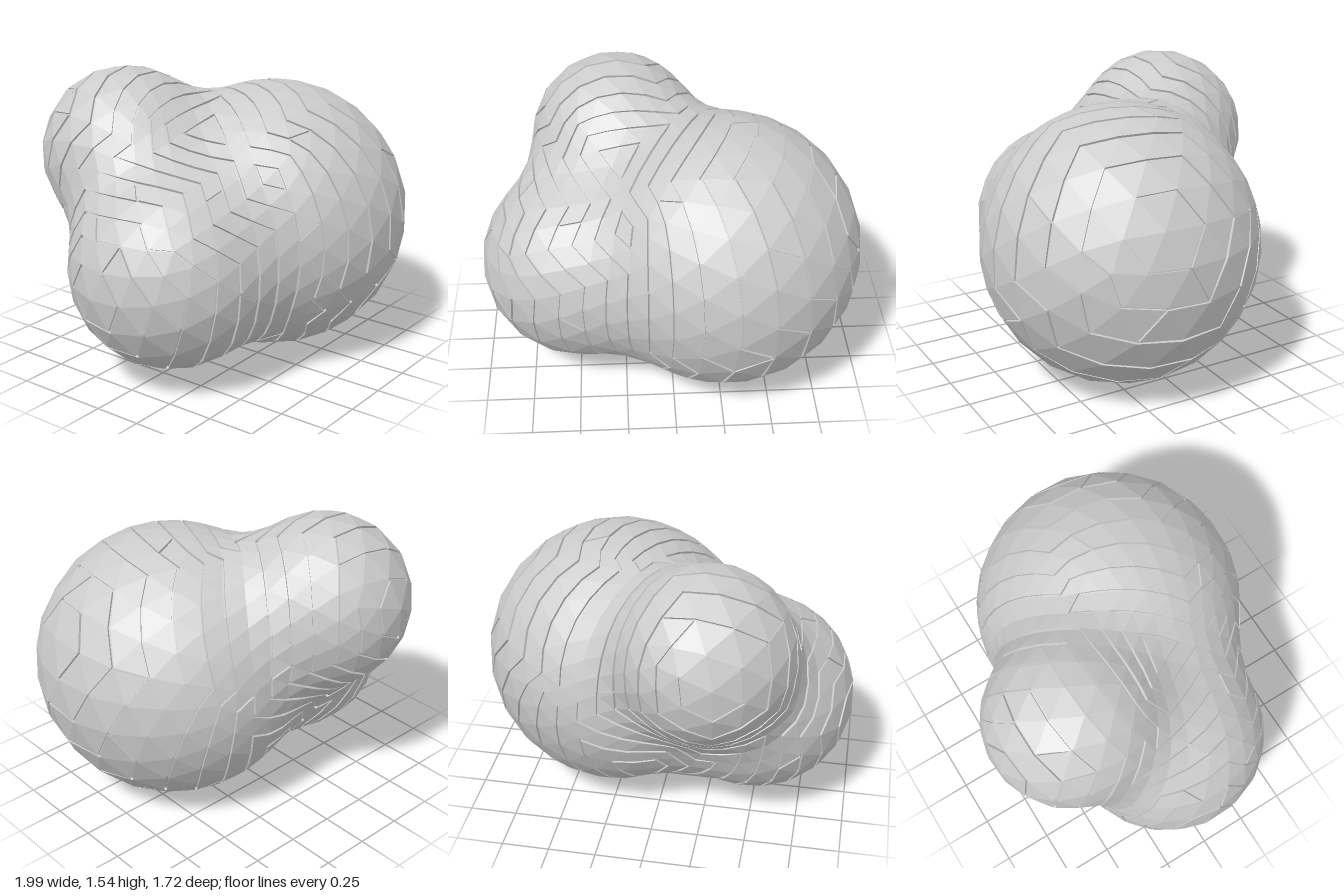
import * as THREE from 'three';
import { mergeVertices } from 'three/addons/utils/BufferGeometryUtils.js';

// Three rounded lobes melted together: centre and radius
const LOBES = [
  [new THREE.Vector3(0.293, 0.74, 0.142), 0.721],
  [new THREE.Vector3(-0.468, 0.622, 0.04), 0.524],
  [new THREE.Vector3(-0.26, 1.11, -0.42), 0.452],
];
const CORE = new THREE.Vector3(-0.12, 0.84, -0.1);
const BLEND = 0.24, GAP = 0.008, DEPTH = 0.014;

function distance(p) {
  return LOBES.map(([c, r]) => p.distanceTo(c) - r).reduce((a, b) => {
    const h = Math.max(BLEND - Math.abs(a - b), 0) / BLEND;
    return Math.min(a, b) - h * h * BLEND * 0.25;
  });
}

// Move a point straight on to the surface, along the slope of the distance
function settle(p) {
  const e = 1e-3;
  for (let s = 0; s < 4; s++) {
    const d = distance(p);
    const slope = new THREE.Vector3(...['x', 'y', 'z'].map((axis) => {
      const q = p.clone();
      q[axis] += e;
      return (distance(q) - d) / e;
    }));
    p.addScaledVector(slope.normalize(), -d);
  }
  return p;
}

// Low-poly sphere shrink-wrapped on to the lobes, then evened out
function blobMesh() {
  let geo = new THREE.IcosahedronGeometry(1, 6);
  geo.deleteAttribute('uv');
  geo.deleteAttribute('normal');
  geo = mergeVertices(geo, 1e-4);
  const pos = geo.attributes.position, idx = geo.index.array;
  let points = [];
  const near = [], faces = [];
  for (let i = 0; i < pos.count; i++) {
    const dir = new THREE.Vector3().fromBufferAttribute(pos, i).normalize();
    const p = new THREE.Vector3();
    let t = 2;
    for (let s = 0; s < 120; s++) t -= distance(p.copy(CORE).addScaledVector(dir, t)) * 0.9;
    points.push(p);
    near.push(new Set());
  }
  for (let i = 0; i < idx.length; i += 3) {
    const f = [idx[i], idx[i + 1], idx[i + 2]];
    faces.push(f);
    f.forEach((v, j) => near[v].add(f[(j + 1) % 3]).add(f[(j + 2) % 3]));
  }
  for (let pass = 0; pass < 40; pass++) {
    points = points.map((p, i) => {
      const mean = [...near[i]].reduce((s, n) => s.add(points[n]), new THREE.Vector3()).divideScalar(near[i].size);
      return settle(mean.lerp(p, 0.4));
    });
  }
  // Stand on the ground, centred
  const box = new THREE.Box3().setFromPoints(points), mid = box.getCenter(new THREE.Vector3());
  points.forEach((p, i) => {
    p.sub(new THREE.Vector3(mid.x, box.min.y, mid.z));
    pos.setXYZ(i, p.x, p.y, p.z);
  });
  geo.computeVertexNormals();
  const sunk = points.map((p, i) => p.clone()
    .addScaledVector(new THREE.Vector3().fromBufferAttribute(geo.attributes.normal, i), -DEPTH));
  return { points, sunk, near, faces };
}

function fromPoints(points) {
  const geo = new THREE.BufferGeometry().setFromPoints(points);
  geo.computeVertexNormals();
  return geo;
}

export function createModel() {
  const { points, sunk, near, faces } = blobMesh();

  // Rings of vertices counted outward from a spot on each lobe
  const ring = new Array(points.length).fill(-1);
  let front = [[0.95, 0.95, 0.28], [-1, 0.58, 0.04], [-0.28, 1.18, -0.87]].map((t) => {
    const tip = new THREE.Vector3(...t);
    return points.reduce((best, p, i) => (p.distanceTo(tip) < points[best].distanceTo(tip) ? i : best), 0);
  });
  front.forEach((v) => { ring[v] = 0; });
  for (let d = 1; front.length; d++) {
    const next = [];
    for (const v of front) for (const n of near[v]) if (ring[n] < 0) { ring[n] = d; next.push(n); }
    front = next;
  }

  // Each ring of facets is a strip, cut across in two places
  const strip = faces.map((f) => {
    const d = Math.min(...f.map((v) => ring[v]));
    const c = f.reduce((s, v) => s.add(points[v]), new THREE.Vector3()).divideScalar(3);
    const turn = Math.atan2(c.y - 0.74, c.z - 0.1) / Math.PI + 2 + ((d * 0.618) % 1);
    return d * 10 + (Math.floor(turn) % 2);
  });

  // Edge owners tell which edges lie between two strips
  const owner = new Map();
  faces.forEach((f, i) => f.forEach((a, j) => owner.set(a + '_' + f[(j + 1) % 3], strip[i])));
  const isSeam = (a, b) => owner.get(a + '_' + b) !== owner.get(b + '_' + a);

  // Pull seam corners back into their own strip
  const pull = new Map(), onSeam = new Set();
  faces.forEach((f, i) => f.forEach((a, j) => {
    const b = f[(j + 1) % 3], c = f[(j + 2) % 3];
    if (isSeam(a, b)) onSeam.add(a).add(b);
    const key = a + '_' + strip[i];
    const toward = points[b].clone().add(points[c]).multiplyScalar(0.5).sub(points[a]).normalize();
    pull.set(key, (pull.get(key) || new THREE.Vector3()).add(toward));
  }));
  const corner = (v, s) => (onSeam.has(v)
    ? points[v].clone().addScaledVector(pull.get(v + '_' + s).clone().normalize(), GAP)
    : points[v]);

  // Facets, groove walls and groove floor
  const skin = [], walls = [], floor = [];
  faces.forEach((f, i) => {
    const s = strip[i];
    skin.push(...f.map((v) => corner(v, s)));
    f.forEach((a, j) => {
      const b = f[(j + 1) % 3];
      if (!isSeam(a, b)) return;
      const A = corner(a, s), B = corner(b, s);
      const a2 = A.clone().add(sunk[a]).sub(points[a]), b2 = B.clone().add(sunk[b]).sub(points[b]);
      walls.push(A, a2, B, B, a2, b2);
    });
    if (f.some((v) => onSeam.has(v))) floor.push(...f.map((v) => sunk[v]));
  });

  const material = new THREE.MeshStandardMaterial({ color: 0xcccccc, flatShading: true });
  const group = new THREE.Group();
  group.name = 'lobedBody';
  for (const [name, list] of [['surfaceStrips', skin], ['grooveWalls', walls], ['grooveFloor', floor]]) {
    const mesh = new THREE.Mesh(fromPoints(list), material);
    mesh.name = name;
    group.add(mesh);
  }
  return group;
}
